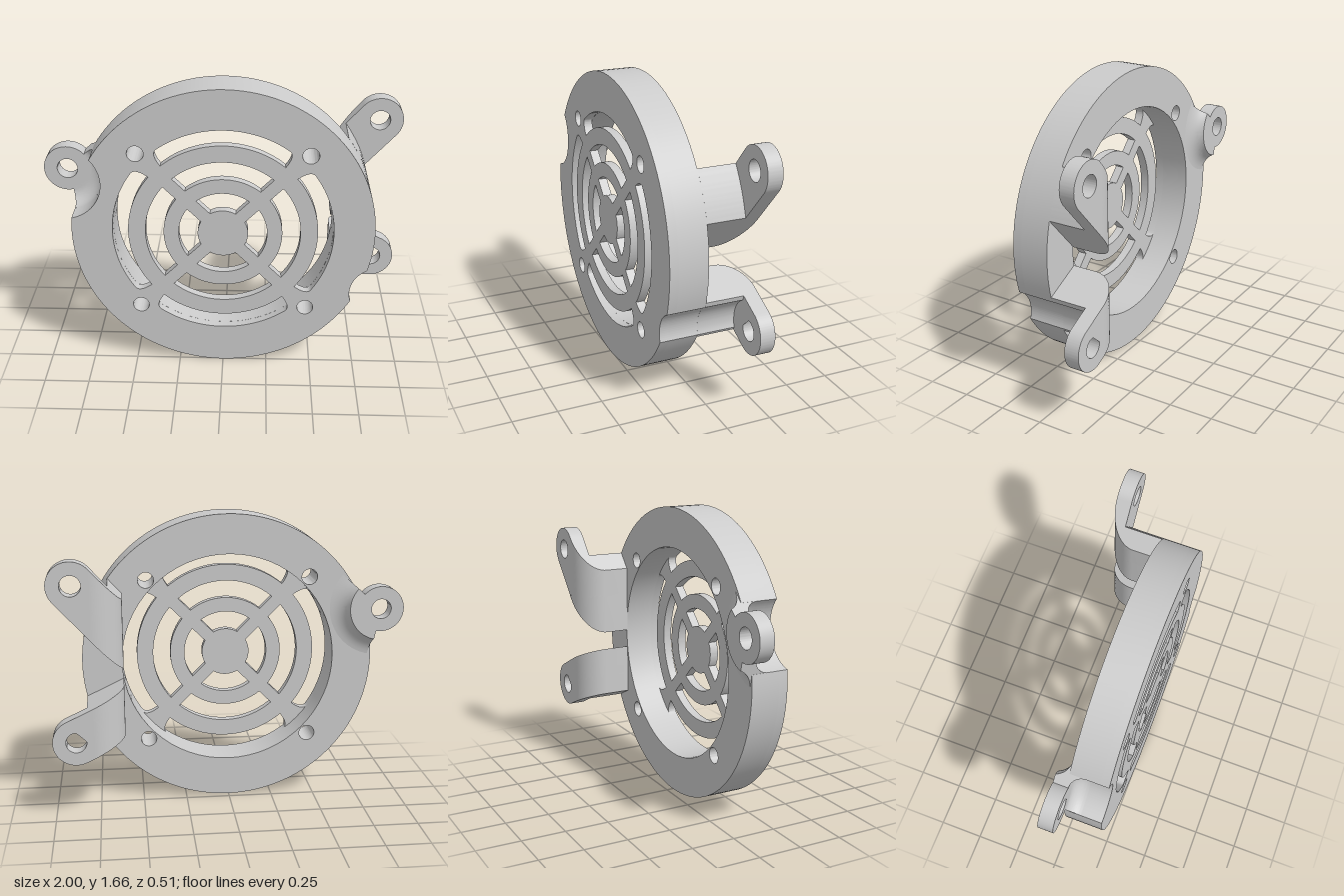
import * as THREE from 'three';
import { toCreasedNormals } from 'three/addons/utils/BufferGeometryUtils.js';

const R = 0.832;                       // outer radius of the ring, also its centre height
const Z_BACK = 0.04, Z_GRILLE = 0.205, Z_FRONT = 0.255;
const EYE_R = 0.13, EYE_HOLE = 0.057;
const mat = new THREE.MeshStandardMaterial({ color: 0xcccccc, side: THREE.DoubleSide });

// Eye centres, relative to the ring centre
const sideEye = { x: -0.87, y: 0.287 };
const upperEye = { x: 0.87, y: 0.503 };
const lowerEye = { x: 0.87, y: -0.368 };
const SIDE_BITE = 0.21, LOWER_BITE = 0.16;

function add(parent, name, geometry) {
  const mesh = new THREE.Mesh(toCreasedNormals(geometry, 0.55), mat);
  mesh.name = name;
  parent.add(mesh);
  return mesh;
}

function extrude(shape, z0, z1) {
  return new THREE.ExtrudeGeometry(shape, { depth: z1 - z0, bevelEnabled: false, curveSegments: 32 }).translate(0, 0, z0);
}

function circleHole(x, y, r) {
  return new THREE.Path().absarc(x, y, r, 0, Math.PI * 2, true);
}

// Ring outline with round clearance bites beside two of the eyes
function ringOutline() {
  const bites = [[lowerEye, LOWER_BITE], [sideEye, SIDE_BITE]].map(([c, r]) => {
    const d = Math.hypot(c.x, c.y);
    return {
      c, r, phi: Math.atan2(c.y, c.x),
      alpha: Math.acos((d * d + R * R - r * r) / (2 * d * R)),
      beta: Math.acos((d * d + r * r - R * R) / (2 * d * r)),
    };
  });
  const shape = new THREE.Shape();
  bites.forEach((b, i) => {
    const n = bites[1 - i];
    const end = n.phi - n.alpha + (i ? Math.PI * 2 : 0);
    shape.absarc(0, 0, R, b.phi + b.alpha, end, false);
    shape.absarc(n.c.x, n.c.y, n.r, n.phi + Math.PI + n.beta, n.phi + Math.PI - n.beta, true);
  });
  for (const sx of [-1, 1]) for (const sy of [-1, 1]) shape.holes.push(circleHole(0.465 * sx, 0.468 * sy, 0.045));
  return shape;
}

// One quarter slot between two radii; g0 and g1 are half gaps at the spokes
function slot(mid, r0, r1, g0, g1, rounded) {
  const a0 = Math.PI / 4 - Math.asin(g0 / r0), a1 = Math.PI / 4 - Math.asin(g1 / r1);
  const ac = Math.PI / 4 - 0.06 / r1;
  const at = (r, a) => [r * Math.cos(a), r * Math.sin(a)];
  const p = new THREE.Path();
  p.absarc(0, 0, r1, mid - a1, mid + a1, false);
  if (rounded) p.quadraticCurveTo(...at(r1, mid + ac), ...at(r0, mid + a0));
  p.absarc(0, 0, r0, mid + a0, mid - a0, true);
  if (rounded) p.quadraticCurveTo(...at(r1, mid - ac), ...at(r1, mid - a1));
  return p;
}

// Bent arm: a post on the back of the ring, a curved elbow and a flat eye plate
function bentArm(name, eye, dir, biteR) {
  const group = new THREE.Group();
  group.name = name;
  const X0 = 0.6, XE = 0.774, ZB = -0.26, ZP = -0.175;
  const a = Math.atan2(dir[1], dir[0]), slope = dir[1] / dir[0];
  const hiPt = [eye.x - EYE_R * Math.sin(a), eye.y + EYE_R * Math.cos(a)];
  const loPt = [eye.x + EYE_R * Math.sin(a), eye.y - EYE_R * Math.cos(a)];
  const lo = x => loPt[1] + (x - loPt[0]) * slope;
  const hi = x => hiPt[1] + (x - hiPt[0]) * slope;
  const yAt = (x, t) => lo(x) + t * (hi(x) - lo(x));
  const back = x => x >= XE ? ZB : -0.1 - 0.16 * Math.sqrt(Math.max(0, 1 - ((XE - x) / (XE - X0)) ** 2));
  // where a line along the arm leaves the ring or meets the clearance bite
  const edge = t => {
    let x = X0;
    while (Math.hypot(x, yAt(x, t)) < R && Math.hypot(x - eye.x, yAt(x, t) - eye.y) > biteR) x += 0.0005;
    return x;
  };
  const block = (xAt, zFront) => {
    const g = new THREE.BoxGeometry(1, 1, 1, 20, 28, 1), p = g.attributes.position;
    for (let i = 0; i < p.count; i++) {
      const t = p.getY(i) + 0.5, x = xAt(p.getX(i) + 0.5, edge(t));
      p.setXYZ(i, x, yAt(x, t), p.getZ(i) > 0 ? zFront : back(x));
    }
    return g;
  };
  add(group, 'armPost', block((s, e) => X0 + s * s * (e - X0), Z_BACK));
  add(group, 'armElbow', block((s, e) => e + s * Math.max(0, XE - e), ZP));

  const plate = new THREE.Shape();
  plate.moveTo(XE, lo(XE));
  plate.lineTo(...loPt);
  plate.absarc(eye.x, eye.y, EYE_R, a - Math.PI / 2, a + Math.PI / 2, false);
  plate.lineTo(XE, hi(XE));
  plate.holes.push(circleHole(eye.x, eye.y, EYE_HOLE));
  add(group, 'armEye', extrude(plate, ZB, ZP));
  return group;
}

// Side ear: an eye disc joined to the ring by a dished, flared neck
function sideEar() {
  const group = new THREE.Group();
  group.name = 'sideEar';
  const z0 = -0.03, z1 = 0.055;
  const disc = new THREE.Shape().absarc(0, 0, EYE_R, 0, Math.PI * 2, false);
  disc.holes.push(circleHole(0, 0, EYE_HOLE));
  add(group, 'earEye', extrude(disc, z0, z1));

  const profile = new THREE.Shape();
  profile.moveTo(0.1, z0);
  profile.lineTo(0.18, z0);
  profile.quadraticCurveTo(0.205, 0.03, 0.285, Z_BACK);
  profile.lineTo(0.285, 0.135);
  profile.lineTo(SIDE_BITE, 0.135);
  profile.absarc(EYE_R, 0.135, 0.08, 0, -Math.PI / 2, true);
  profile.lineTo(0.1, z1);
  const mid = Math.atan2(-sideEye.y, -sideEye.x), half = Math.PI / 3;
  const neck = new THREE.LatheGeometry(profile.getPoints(10), 40, mid - half + Math.PI / 2, half * 2);
  add(group, 'earNeck', neck.rotateX(Math.PI / 2));
  for (const s of [-1, 1]) {
    add(group, 'earNeckSide', new THREE.ShapeGeometry(profile, 10).rotateX(Math.PI / 2).rotateZ(mid + s * half));
  }
  group.position.set(sideEye.x, sideEye.y, 0);
  return group;
}

export function createModel() {
  const model = new THREE.Group();
  model.name = 'fanGuard';
  const body = new THREE.Group();
  body.name = 'guardBody';
  body.position.y = R;
  model.add(body);

  // Deep ring behind the grille
  const ring = ringOutline();
  ring.holes.push(circleHole(0, 0, 0.607));
  add(body, 'ring', extrude(ring, Z_BACK, Z_GRILLE));

  // Thin front grille with slots between four diagonal spokes
  const grille = ringOutline();
  for (let k = 0; k < 4; k++) {
    const mid = k * Math.PI / 2;
    grille.holes.push(
      slot(mid, 0.138, 0.242, 0.035, 0.035, false),
      slot(mid, 0.325, 0.425, 0.035, 0.035, false),
      slot(mid, 0.52, 0.607, 0.047, 0.1, true),
    );
  }
  add(body, 'grille', extrude(grille, Z_GRILLE, Z_FRONT));

  // Mounting arms and ear
  body.add(bentArm('upperArm', upperEye, [0.67, 0.74], LOWER_BITE));
  body.add(bentArm('lowerArm', lowerEye, [0.9, -0.43], LOWER_BITE));
  body.add(sideEar());
  return model;
}
